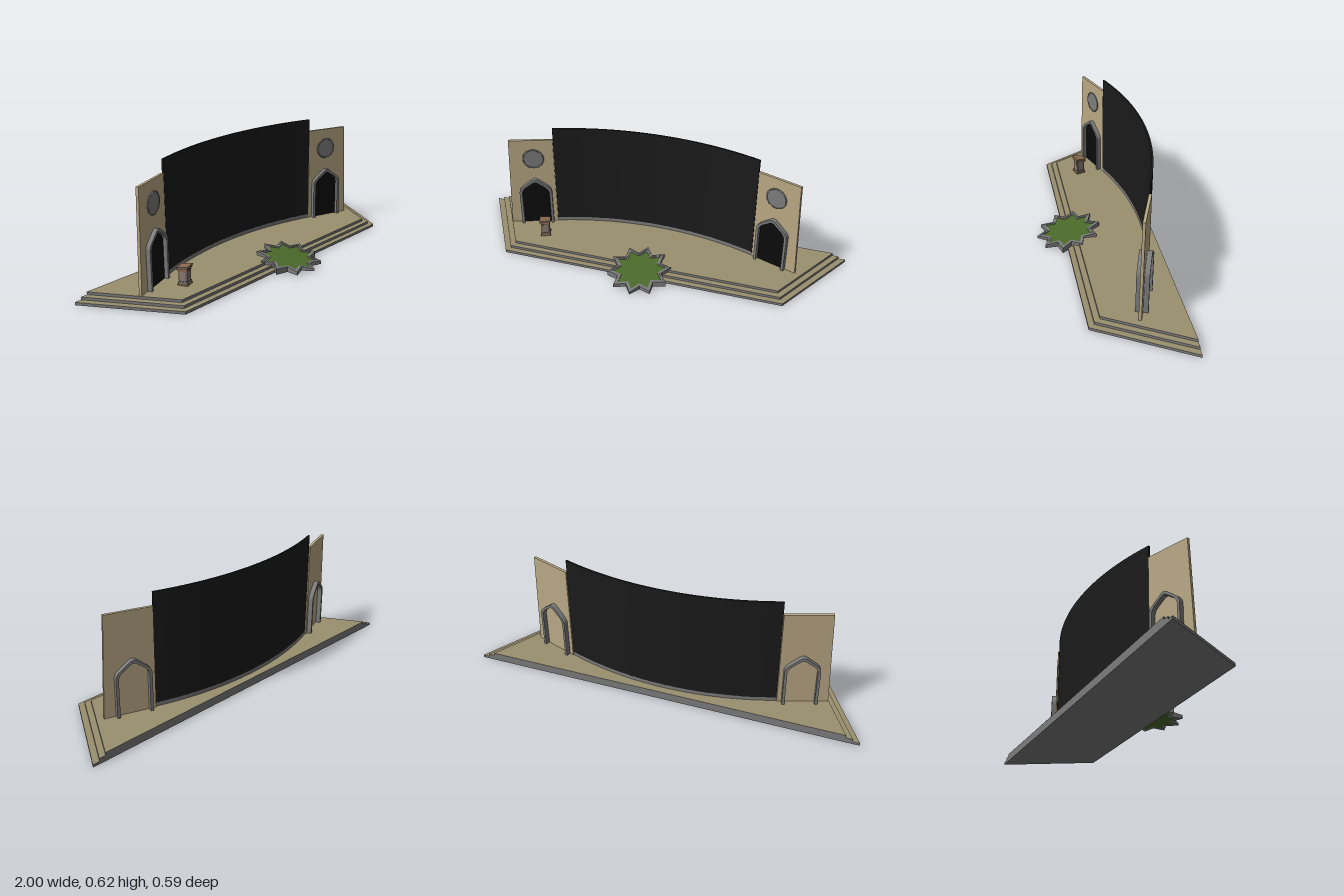
import * as THREE from 'three';
import { toCreasedNormals } from 'three/addons/utils/BufferGeometryUtils.js';

const mat = (color, side = THREE.FrontSide) => new THREE.MeshStandardMaterial({ color, side });
const grey = mat(0x7c7c7c);
const tan = mat(0xbaa985);
const paving = mat(0x9a9070, THREE.DoubleSide);
const black = mat(0x1b1b1b);
const doorBlack = mat(0x0b0b0b);
const green = mat(0x4b6a2b);
const stone = mat(0x8b7d74);
const trim = mat(0x8a6a50);
const darkStone = mat(0x5a504a);

const AXIS = -0.018; // centre line of the screen and its side walls
const FLOOR = 0.042;

function add(parent, name, geometry, material, x = 0, y = 0, z = 0) {
  const mesh = new THREE.Mesh(geometry, material);
  mesh.name = name;
  mesh.position.set(x, y, z);
  parent.add(mesh);
  return mesh;
}

const polygon = (points) => new THREE.Shape(points.map(([x, y]) => new THREE.Vector2(x, y)));

const extrude = (shape, depth, curveSegments = 12) =>
  new THREE.ExtrudeGeometry(shape, { depth, bevelEnabled: false, curveSegments });

// Plan shapes are drawn with y = -z and raised upwards
const raise = (shape, height, segments) => extrude(shape, height, segments).rotateX(-Math.PI / 2);

// Three stepped trapezoid slabs, paved on top
function buildStage() {
  const stage = new THREE.Group();
  stage.name = 'stage';
  [[1, 0.742, 0.15], [0.965, 0.725, 0.122], [0.932, 0.708, 0.094]].forEach(([back, front, z], i) => {
    const plan = polygon([[-back, 0.298], [-front, -z], [front, -z], [back, 0.298]]);
    add(stage, `step${i + 1}`, raise(plan, 0.014), grey, 0, i * 0.014, 0);
    const top = new THREE.ShapeGeometry(plan).rotateX(-Math.PI / 2);
    add(stage, `paving${i + 1}`, top, paving, 0, (i + 1) * 0.014 + 0.0004, 0);
  });
  return stage;
}

// Curved screen on a low curb
function buildScreen() {
  const screen = new THREE.Group();
  screen.name = 'screen';
  const R = 1.622, half = 0.344;
  const arc = (outer, inner) => {
    const s = new THREE.Shape();
    s.absarc(0, 0, outer, Math.PI / 2 - half, Math.PI / 2 + half, false);
    s.absarc(0, 0, inner, Math.PI / 2 + half, Math.PI / 2 - half, true);
    return s;
  };
  const wall = (h) => toCreasedNormals(raise(arc(R, R - 0.009), h, 40), 0.5);
  add(screen, 'screenCurb', wall(0.02), grey, AXIS, FLOOR, R - 0.26);
  add(screen, 'screenPanel', wall(0.555), black, AXIS, 0.061, R - 0.26);
  return screen;
}

// Pointed arch outline, open at the foot
function archPoints(w, spring, shoulder, apex) {
  const left = new THREE.QuadraticBezierCurve(
    new THREE.Vector2(-w, spring), new THREE.Vector2(-w, shoulder - 0.012),
    new THREE.Vector2(-w * 0.72, shoulder + 0.006)).getPoints(5).map((p) => [p.x, p.y]);
  const tip = [[-w * 0.14, apex - 0.003], [w * 0.14, apex - 0.003]];
  const right = left.map(([x, y]) => [-x, y]).reverse();
  return [[-w, 0], ...left, tip[0], [0, apex], tip[1], ...right, [w, 0]];
}

// Angled wall with an arched doorway and a round plaque; s = 1 left, -1 right
function buildSideWall(s) {
  const group = new THREE.Group();
  group.name = s > 0 ? 'leftWall' : 'rightWall';
  group.position.set(AXIS + s * 0.548, FLOOR, -0.163);
  group.rotation.y = -s * 0.348;

  const face = polygon([[0, 0], [s * 0.252, 0], [s * 0.231, 0.508], [0, 0.508]]);
  add(group, 'wallPanel', extrude(face, 0.014), tan, 0, 0, -0.007);

  const u = s * 0.1085;
  const outer = archPoints(0.087, 0.195, 0.23, 0.278);
  const inner = archPoints(0.073, 0.19, 0.222, 0.262);
  const frame = polygon([...outer, ...inner.slice().reverse()]);
  add(group, 'archFrame', toCreasedNormals(extrude(frame, 0.06), 0.4), grey, u, 0, -0.031);
  add(group, 'doorway', extrude(polygon(inner), 0.003), doorBlack, u, 0, 0.006);

  const disc = new THREE.CylinderGeometry(0.052, 0.052, 0.004, 40).rotateX(Math.PI / 2);
  add(group, 'roundPlaque', disc, grey, u, 0.398, 0.009);
  add(group, 'plaqueRim', new THREE.TorusGeometry(0.053, 0.004, 8, 40), grey, u, 0.398, 0.009);
  return group;
}

// Ten-pointed planter with a flat foot and a top sloping to the front
function buildStarPlanter() {
  const planter = new THREE.Group();
  planter.name = 'starPlanter';
  const cz = 0.13;
  const star = (tip, valley) => Array.from({ length: 20 }, (_, i) => {
    const r = i % 2 ? valley : tip, a = Math.PI / 2 + (i * Math.PI) / 10;
    return [r * Math.cos(a), r * Math.sin(a)];
  });
  const slope = (geometry, drop) => {
    const p = geometry.attributes.position;
    for (let i = 0; i < p.count; i++) {
      const top = 0.0425 - 0.157 * p.getZ(i) - drop;
      p.setY(i, p.getY(i) > 0.5 ? top : 0.004);
    }
    geometry.computeVertexNormals();
    return geometry;
  };
  const ring = (a, b) => {
    const shape = polygon(star(...a));
    shape.holes.push(new THREE.Path(polygon(star(...b)).getPoints()));
    return raise(shape, 1);
  };
  add(planter, 'planterRim', slope(ring([0.163, 0.115], [0.148, 0.105]), 0), grey, 0, 0, cz);
  add(planter, 'planterInnerRim', slope(ring([0.148, 0.105], [0.134, 0.096]), 0.002), grey, 0, 0, cz);
  add(planter, 'grass', slope(raise(polygon(star(0.134, 0.096)), 1), 0.005), green, 0, 0, cz);
  return planter;
}

// Small lectern facing the front centre, its top tilted to the speaker
function buildLectern() {
  const lectern = new THREE.Group();
  lectern.name = 'lectern';
  lectern.position.set(-0.579, FLOOR, -0.021);
  lectern.rotation.y = 0.348;
  const block = (name, w, y0, y1, m) =>
    add(lectern, name, new THREE.BoxGeometry(w, y1 - y0, w), m, 0, (y0 + y1) / 2, 0);
  block('lecternPlinth', 0.052, 0, 0.008, trim);
  block('lecternBase', 0.048, 0.008, 0.018, stone);
  block('lecternBody', 0.043, 0.018, 0.075, stone);
  for (let i = 0; i < 4; i++) {
    const side = new THREE.Group();
    side.name = 'lecternSide';
    side.rotation.y = (i * Math.PI) / 2;
    lectern.add(side);
    add(side, 'panelBorder', new THREE.BoxGeometry(0.034, 0.05, 0.001), darkStone, 0, 0.046, 0.0217);
    add(side, 'panel', new THREE.BoxGeometry(0.029, 0.045, 0.001), stone, 0, 0.046, 0.0222);
  }
  // Cornice layers share the tilt of the top
  [[0.046, 0.072, 0.006, trim], [0.051, 0.078, 0.006, trim], [0.056, 0.085, 0.008, darkStone],
    [0.058, 0.091, 0.005, trim]].forEach(([w, y, h, m], i) => {
    const layer = add(lectern, `cornice${i + 1}`, new THREE.BoxGeometry(w, h, w), m, 0, y, 0);
    layer.rotation.x = -0.15;
  });
  return lectern;
}

export function createModel() {
  const model = new THREE.Group();
  model.name = 'outdoorStage';
  model.add(buildStage(), buildScreen(), buildSideWall(1), buildSideWall(-1),
    buildStarPlanter(), buildLectern());
  return model;
}
